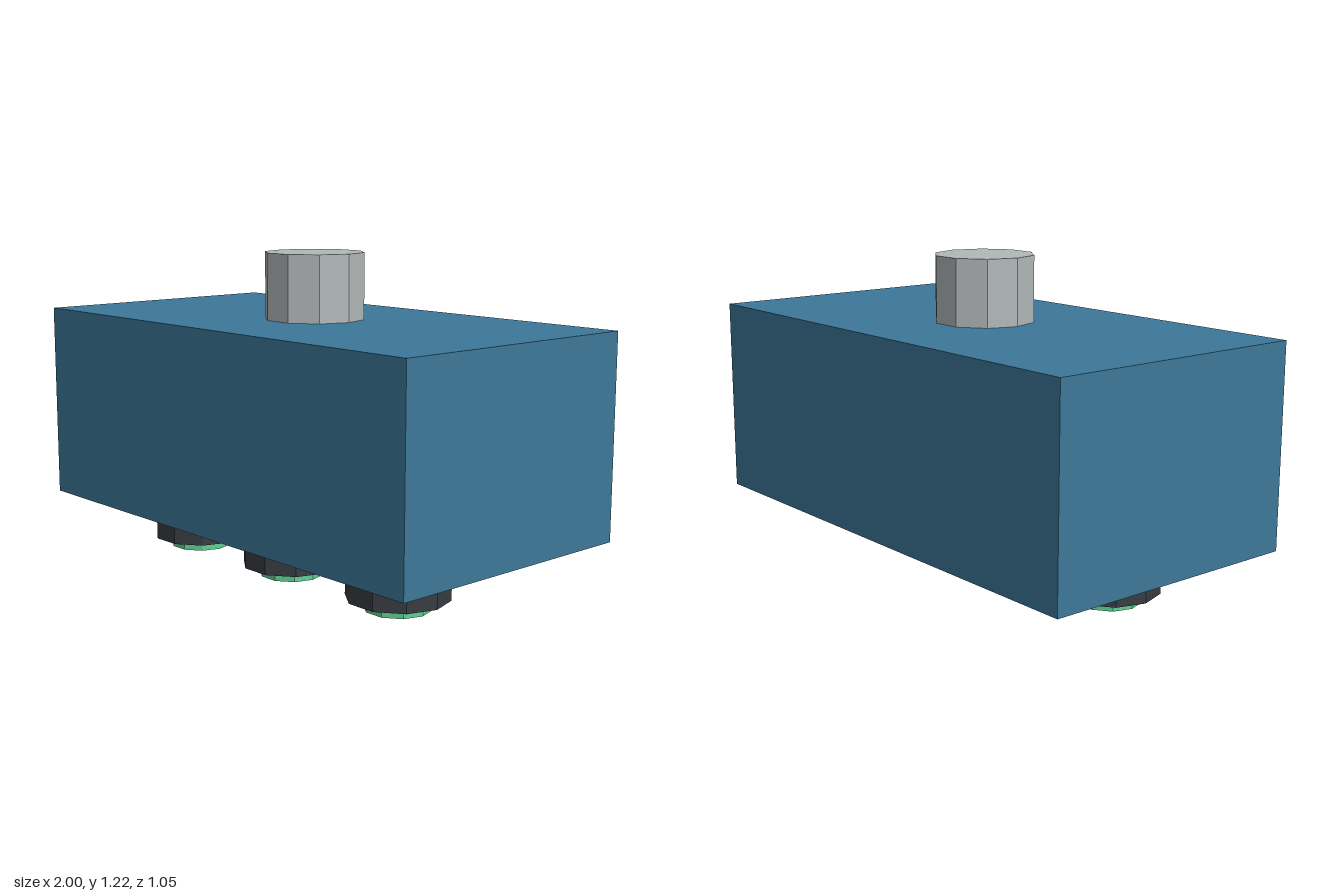
import * as THREE from 'three';

const mat = (name, color) => {
  const m = new THREE.MeshStandardMaterial({ color, flatShading: true });
  m.name = name;
  return m;
};

export function createModel() {
  const blue = mat('blue', 0x3d7899);
  const grey = mat('light grey', 0xb2b8b8);
  const dark = mat('charcoal', 0x373c42);
  const green = mat('green', 0x5fd093);

  const group = new THREE.Group();
  group.name = 'lensBox';

  const add = (name, geometry, material, x, y, z) => {
    const mesh = new THREE.Mesh(geometry, material);
    mesh.name = name;
    mesh.position.set(x, y, z);
    group.add(mesh);
  };

  // Ten-sided upright drum with corners on the x axis
  const drum = (radius, y0, y1) =>
    new THREE.CylinderGeometry(radius, radius, y1 - y0, 10).rotateY(Math.PI / 2);

  // Main housing
  add('housing', new THREE.BoxGeometry(2, 0.76, 1.048), blue, 0, 0.59, 0);

  // Mounting post on top
  add('mountingPost', drum(0.19, 0.97, 1.22), grey, 0, 1.095, 0);

  // Row of three barrels with lenses underneath, set toward the front
  ['right', 'centre', 'left'].forEach((side, i) => {
    const x = (i - 1) * 0.571;
    add(side + 'Barrel', drum(0.19, 0.04, 0.21), dark, x, 0.125, 0.116);
    add(side + 'Lens', drum(0.123, 0, 0.04), green, x, 0.02, 0.116);
  });

  return group;
}
